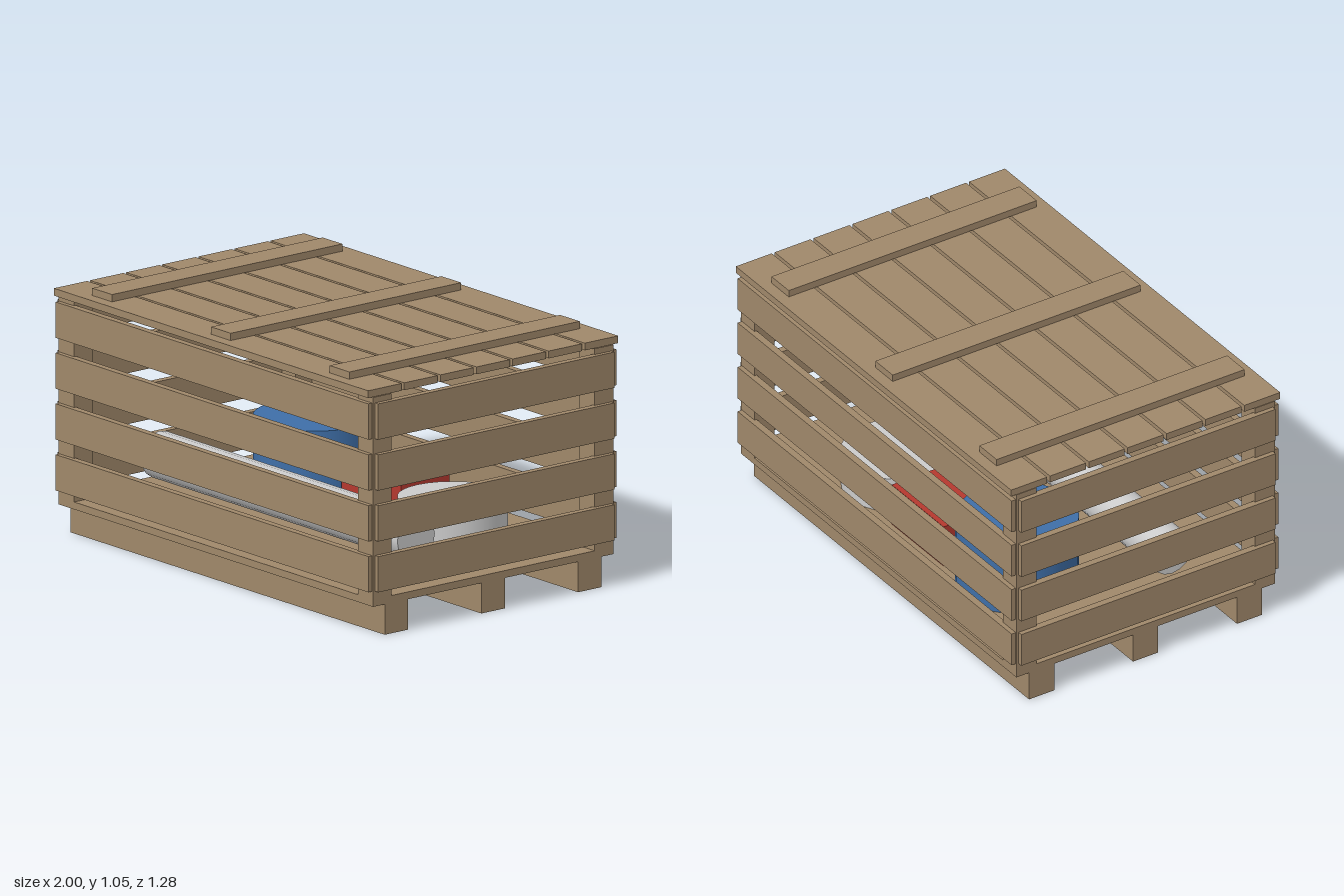
import * as THREE from 'three';

const paint = (color) => new THREE.MeshStandardMaterial({ color });
const wood = paint(0xa0886a);
const blue = paint(0x3f6fa8);
const red = paint(0xb5382f);
const grey = paint(0xcccccc);

export function createModel() {
  const model = new THREE.Group();

  const add = (parent, name, geometry, material, x, y, z) => {
    const mesh = new THREE.Mesh(geometry, material);
    mesh.name = name;
    mesh.position.set(x, y, z);
    parent.add(mesh);
    return mesh;
  };
  // Box given by its size, centre x and z, and the height of its underside
  const box = (parent, name, w, h, d, x, y0, z, material = wood) =>
    add(parent, name, new THREE.BoxGeometry(w, h, d), material, x, y0 + h / 2, z);
  const part = (name) => {
    const group = new THREE.Group();
    group.name = name;
    model.add(group);
    return group;
  };

  // Pallet base: three skids and a solid floor
  const base = part('base');
  for (const z of [-0.495, 0, 0.495]) box(base, 'skid', 1.96, 0.125, 0.12, 0, 0, z);
  box(base, 'floor', 1.96, 0.03, 1.23, 0, 0.125, 0);

  // Corner posts and four rows of slats on every side
  const walls = part('walls');
  for (const s of [-1, 1]) {
    for (const t of [-1, 1]) box(walls, 'cornerPost', 0.095, 0.83, 0.095, s * 0.9325, 0.155, t * 0.5675);
    for (let i = 0; i < 4; i++) {
      const y = 0.187 + i * 0.209;
      box(walls, 'longSlat', 1.95, 0.147, 0.03, 0, y, s * 0.62);
      box(walls, 'endSlat', 0.03, 0.147, 1.21, s * 0.985, y, 0);
    }
  }

  // Lid: seven boards held by three battens
  const lid = part('lid');
  for (let i = -3; i <= 3; i++) box(lid, 'lidBoard', 1.96, 0.03, 0.171, 0, 0.987, i * 0.185);
  for (const x of [-0.74, 0, 0.74]) box(lid, 'lidBatten', 0.123, 0.03, 1.18, x, 1.017, 0);

  // Goods packed inside
  const cargo = part('cargo');
  const drum = (name, r, h, material, x) =>
    add(cargo, name, new THREE.CylinderGeometry(r, r, h, 32), material, x, 0.155 + h / 2, -0.245);
  drum('blueDrum', 0.246, 0.305, blue, -0.431);
  drum('greyDrum', 0.22, 0.155, grey, 0.429);
  box(cargo, 'redBox', 0.37, 0.185, 0.25, 0, 0.155, -0.305, red);
  const pipe = add(cargo, 'pipe', new THREE.CylinderGeometry(0.096, 0.096, 1.6, 16), grey, 0, 0.305, 0.247);
  pipe.rotation.z = Math.PI / 2;

  return model;
}
